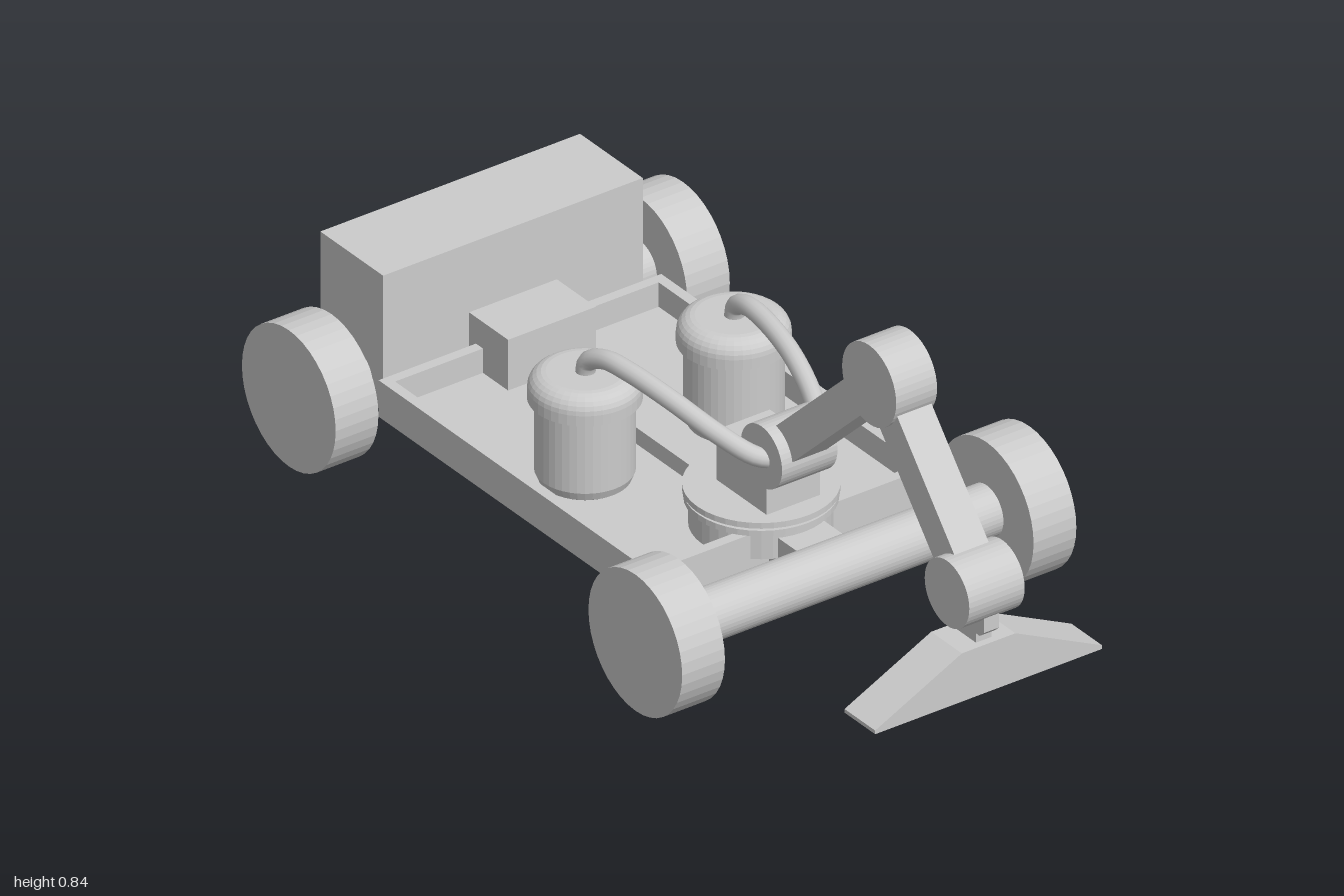
import * as THREE from 'three';

const material = new THREE.MeshStandardMaterial({ color: 0xcccccc, flatShading: true });
const smooth = new THREE.MeshStandardMaterial({ color: 0xcccccc });

export function createModel() {
  const model = new THREE.Group();

  const add = (name, geometry, x = 0, y = 0, z = 0, mat = material) => {
    const mesh = new THREE.Mesh(geometry, mat);
    mesh.name = name;
    mesh.position.set(x, y, z);
    model.add(mesh);
    return mesh;
  };
  // Box given by its limits on each axis
  const box = (name, x0, x1, y0, y1, z0, z1) =>
    add(name, new THREE.BoxGeometry(x1 - x0, y1 - y0, z1 - z0), (x0 + x1) / 2, (y0 + y1) / 2, (z0 + z1) / 2);
  // Cylinder lying across the vehicle
  const roller = (name, r, width, x, y, z) =>
    add(name, new THREE.CylinderGeometry(r, r, width, 40).rotateZ(Math.PI / 2), x, y, z);
  // Upright cylinder given by its bottom and top
  const drum = (name, r, y0, y1, z) =>
    add(name, new THREE.CylinderGeometry(r, r, y1 - y0, 40), 0, (y0 + y1) / 2, z);

  // Wheels and axles
  for (const [end, z] of [['front', 0.41], ['rear', -0.832]]) {
    roller(end + 'Axle', 0.06, 0.84, 0, 0.17, z);
    for (const s of [-1, 1]) roller(end + 'Wheel', 0.168, 0.112, s * 0.46, 0.168, z);
  }

  // Open tray chassis with a raised rim and centre spine
  box('trayFloor', -0.37, 0.37, 0.13, 0.16, -0.71, 0.265);
  for (const s of [-1, 1]) {
    box('sideRim', s * 0.3575 - 0.0125, s * 0.3575 + 0.0125, 0.16, 0.22, -0.71, 0.265);
  }
  box('rearRim', -0.345, 0.345, 0.16, 0.22, -0.71, -0.685);
  box('frontRim', -0.345, 0.345, 0.16, 0.22, 0.24, 0.265);
  box('spine', -0.025, 0.025, 0.16, 0.2, -0.685, 0.24);
  box('frontAxleMount', -0.06, 0.06, 0.13, 0.21, 0.26, 0.38);
  box('rearAxleMount', -0.115, 0.115, 0.12, 0.285, -0.74, -0.595);
  box('rearHousing', -0.34, 0.34, 0.12, 0.455, -0.96, -0.735);

  // Turntable and turret
  drum('turntableBase', 0.155, 0.16, 0.225, 0.155);
  drum('turntableLowerDisc', 0.165, 0.222, 0.236, 0.155);
  drum('turntableGroove', 0.15, 0.236, 0.243, 0.155);
  drum('turntableUpperDisc', 0.168, 0.243, 0.257, 0.155);
  box('turret', -0.07, 0.07, 0.255, 0.38, 0.09, 0.27);

  // Articulated arm: joints as [y, z]
  const shoulder = [0.395, 0.255], elbow = [0.74, 0.615], wrist = [0.38, 0.92];
  roller('shoulderJoint', 0.074, 0.145, 0, ...shoulder);
  roller('elbowJoint', 0.097, 0.107, 0, ...elbow);
  roller('wristJoint', 0.08, 0.145, 0, ...wrist);
  const link = (name, a, b) => {
    const dy = b[0] - a[0], dz = b[1] - a[1];
    const mesh = add(name, new THREE.BoxGeometry(0.09, Math.hypot(dy, dz), 0.085),
      0, (a[0] + b[0]) / 2, (a[1] + b[1]) / 2);
    mesh.rotation.x = Math.atan2(dz, dy);
  };
  link('upperArm', shoulder, elbow);
  link('forearm', elbow, wrist);

  // Neck with chamfered lower corners, then the flared nozzle
  const profile = (points, depth) => new THREE.ExtrudeGeometry(
    new THREE.Shape(points.map(([x, y]) => new THREE.Vector2(x, y))),
    { depth, bevelEnabled: false }).translate(0, 0, -depth / 2);
  const neck = profile([[-0.045, 0.278], [0.045, 0.278], [0.06, 0.292], [0.06, 0.34], [-0.06, 0.34], [-0.06, 0.292]], 0.04);
  add('nozzleCollar', neck.rotateY(Math.PI / 2), 0, 0, 0.92);
  box('nozzleNeck', -0.02, 0.02, 0.25, 0.285, 0.882, 0.952);
  add('nozzle', profile([[-0.297, 0.136], [0.297, 0.136], [0.297, 0.145], [0.07, 0.255], [-0.07, 0.255], [-0.297, 0.145]], 0.11),
    0, 0, 0.915);

  // Twin tanks with domed lids and hoses to the shoulder
  const point = ([x, y]) => new THREE.Vector2(x, y);
  const lid = [[0, 0.36], [0.123, 0.36], [0.123, 0.385]];
  for (let i = 1; i <= 6; i++) {
    const a = (i / 6) * Math.PI / 2;
    lid.push([0.083 + 0.04 * Math.cos(a), 0.385 + 0.04 * Math.sin(a)]);
  }
  lid.push([0, 0.425]);
  const body = [[0, 0.155], [0.085, 0.155], [0.1, 0.165], [0.108, 0.185], [0.108, 0.365], [0, 0.365]];
  for (const s of [-1, 1]) {
    add('tankBody', new THREE.LatheGeometry(body.map(point), 40), s * 0.195, 0, -0.21);
    add('tankLid', new THREE.LatheGeometry(lid.map(point), 40), s * 0.195, 0, -0.21);
    const path = new THREE.CatmullRomCurve3([
      [0.195, 0.415, -0.21], [0.194, 0.452, -0.2], [0.187, 0.478, -0.15], [0.178, 0.481, -0.07],
      [0.158, 0.464, 0.05], [0.125, 0.428, 0.17], [0.085, 0.398, 0.25], [0.05, 0.39, 0.272],
    ].map(([x, y, z]) => new THREE.Vector3(s * x, y, z)));
    add('hose', new THREE.TubeGeometry(path, 40, 0.022, 14), 0, 0, 0, smooth);
  }

  return model;
}
